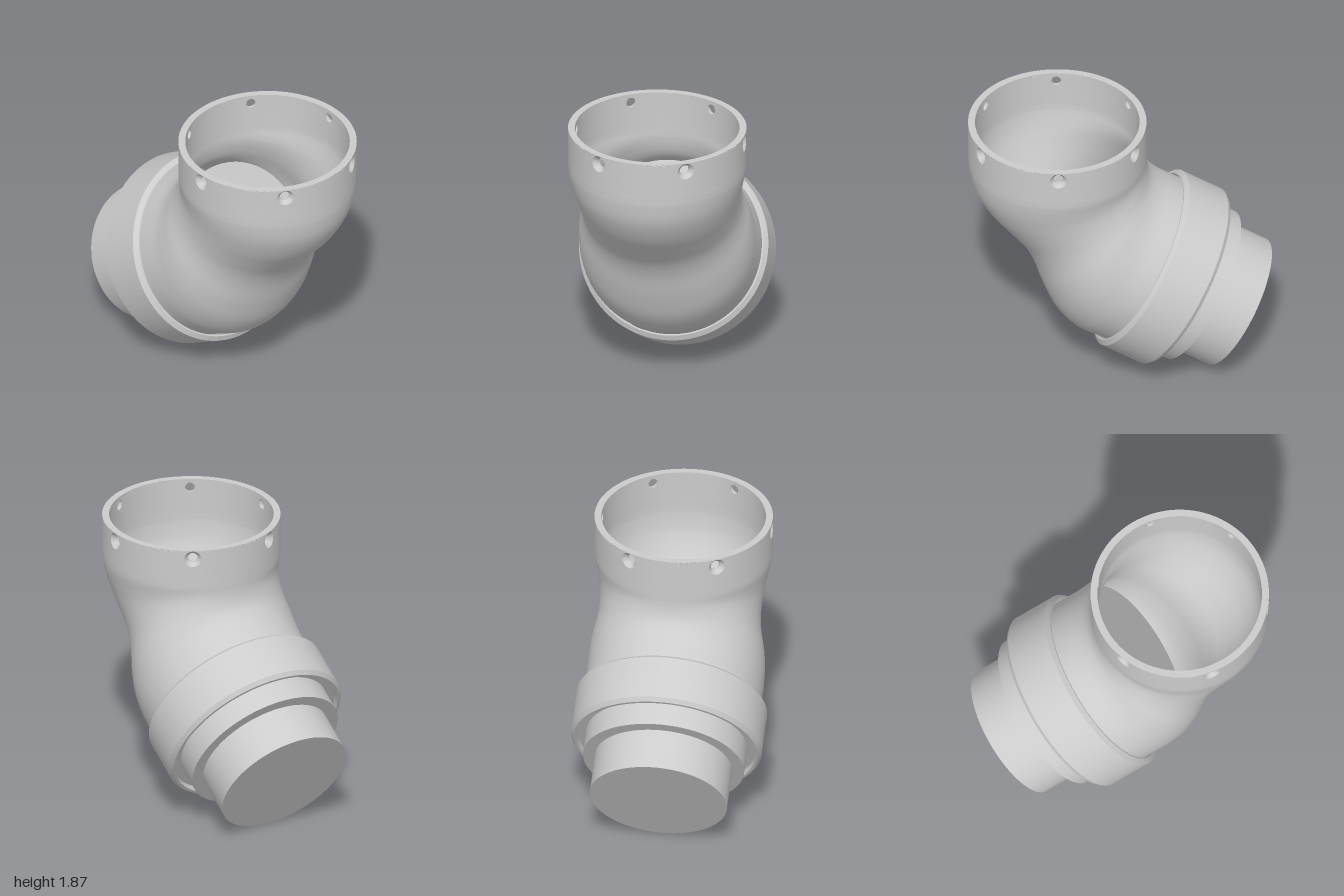
import * as THREE from 'three';
import { mergeGeometries, toCreasedNormals } from 'three/addons/utils/BufferGeometryUtils.js';

const CX = 0.412, R = 0.588, WALL = 0.046;      // upper mouth
const TOP = 1.87, COLLAR = 1.62, HOLE_Y = 1.81;

const material = new THREE.MeshStandardMaterial({ color: 0xcccccc });
const shellMaterial = new THREE.MeshStandardMaterial({ color: 0xcccccc, side: THREE.DoubleSide });

// Surface through a list of closed loops of points
function loft(loops) {
  const n = loops[0].length, index = [];
  for (let i = 0; i < loops.length - 1; i++) {
    for (let j = 0; j < n; j++) {
      const a = i * n + j, b = i * n + (j + 1) % n;
      index.push(a, a + n, b, b, a + n, b + n);
    }
  }
  const g = new THREE.BufferGeometry();
  g.setAttribute('position', new THREE.Float32BufferAttribute(loops.flat(2), 3));
  g.setIndex(index);
  g.computeVertexNormals();
  return g;
}

function mesh(name, geometry, mat = material) {
  const m = new THREE.Mesh(geometry, mat);
  m.name = name;
  return m;
}

function lathe(name, profile) {
  const g = new THREE.LatheGeometry(profile.map(([r, y]) => new THREE.Vector2(r, y)), 96);
  return mesh(name, toCreasedNormals(g, 0.35));
}

// Elbow cross-sections: inner-bend point, outer-bend point, half width in z
const SECTIONS = [
  [-0.678, 1.127, -0.093, 0.113, 0.585],
  [-0.41, 1.282, 0.176, 0.268, 0.585],
  [-0.29, 1.35, 0.325, 0.352, 0.585],
  [-0.24, 1.39, 0.44, 0.485, 0.583],
  [-0.207, 1.43, 0.52, 0.66, 0.57],
  [-0.191, 1.465, 0.59, 0.86, 0.545],
  [-0.183, 1.495, 0.655, 0.98, 0.535],
  [-0.179, 1.52, 0.76, 1.105, 0.536],
  [-0.177, 1.545, 0.885, 1.255, 0.548],
  [-0.176, 1.565, 0.97, 1.415, 0.568],
  [-0.176, 1.59, 0.997, 1.55, 0.584],
  [CX - R, COLLAR, CX + R, COLLAR, R],
];

function elbow(inset) {
  const near = new THREE.CatmullRomCurve3(SECTIONS.map(s => new THREE.Vector3(s[0], s[1], s[4])));
  const far = new THREE.CatmullRomCurve3(SECTIONS.map(s => new THREE.Vector3(s[2], s[3], 0)));
  const loops = [], steps = (SECTIONS.length - 1) * 6, sides = 96;
  for (let i = 0; i <= steps; i++) {
    const a = near.getPoint(i / steps), b = far.getPoint(i / steps);
    const mx = (a.x + b.x) / 2, my = (a.y + b.y) / 2;
    const hx = (b.x - a.x) / 2, hy = (b.y - a.y) / 2;
    const k = 1 - inset / Math.hypot(hx, hy);
    loops.push(Array.from({ length: sides }, (_, j) => {
      const t = j / sides * Math.PI * 2, c = Math.cos(t) * k;
      return [mx + hx * c, my + hy * c, Math.sin(t) * (a.z - inset)];
    }));
  }
  return loft(loops);
}

// One sixth of the collar wall, inside and outside, with a countersunk hole
function collarSector(turn) {
  const half = Math.PI / 6, big = 0.056, small = 0.034, rows = 8;
  const edge = [];                               // unit square outline
  const n = 16;
  for (let i = 0; i < n; i++) edge.push([-1 + 2 * i / n, -1]);
  for (let i = 0; i < n; i++) edge.push([1, -1 + 2 * i / n]);
  for (let i = 0; i < n; i++) edge.push([1 - 2 * i / n, 1]);
  for (let i = 0; i < n; i++) edge.push([-1, 1 - 2 * i / n]);
  const loop = (hole, t, radius) => edge.map(([u, v]) => {
    const len = Math.hypot(u, v);
    const ang = THREE.MathUtils.lerp(hole * u / len / R, half * u, t) + turn;
    const y = THREE.MathUtils.lerp(hole * v / len, v * (v > 0 ? TOP - HOLE_Y : HOLE_Y - COLLAR), t);
    return [CX + Math.sin(ang) * radius, HOLE_Y + y, Math.cos(ang) * radius];
  });
  const loops = [];
  for (let i = rows; i >= 0; i--) loops.push(loop(big, i / rows, R));
  loops.push(loop(small, 0, R - 0.026));
  for (let i = 0; i <= rows; i++) loops.push(loop(small, i / rows, R - WALL));
  return loft(loops);
}

export function createModel() {
  const model = new THREE.Group();
  model.name = 'pipeElbow';

  // Stepped spigot and clamp ring on the tilted axis
  const inlet = new THREE.Group();
  inlet.name = 'inlet';
  inlet.position.set(-0.775, 0.395, 0);
  inlet.rotation.z = -Math.PI / 3;
  inlet.add(
    lathe('spigot', [[0, 0], [0.455, 0], [0.455, 0.28], [0.535, 0.28], [0.535, 0.45], [0.6, 0.45]]),
    lathe('clampRing', [[0.594, 0.45], [0.594, 0.405], [0.612, 0.405], [0.633, 0.432],
      [0.633, 0.729], [0.604, 0.755], [0.594, 0.755], [0.594, 0.45]]),
  );
  // Flat floor closing the bore
  const floor = mesh('boreFloor', new THREE.CircleGeometry(0.535, 64));
  floor.rotation.x = -Math.PI / 2;
  floor.position.y = 1.03;
  inlet.add(floor);
  model.add(inlet);

  // Curved body, outside and bore
  model.add(mesh('elbowBody', elbow(0), shellMaterial));
  model.add(mesh('elbowBore', elbow(WALL), shellMaterial));

  // Mouth collar with six screw holes, and its rim
  const sectors = Array.from({ length: 6 }, (_, i) => collarSector(i * Math.PI / 3));
  model.add(mesh('collar', toCreasedNormals(mergeGeometries(sectors), 0.4), shellMaterial));
  const rim = mesh('collarRim', new THREE.RingGeometry(R - WALL, R, 96));
  rim.rotation.x = -Math.PI / 2;
  rim.position.set(CX, TOP, 0);
  model.add(rim);

  return model;
}
